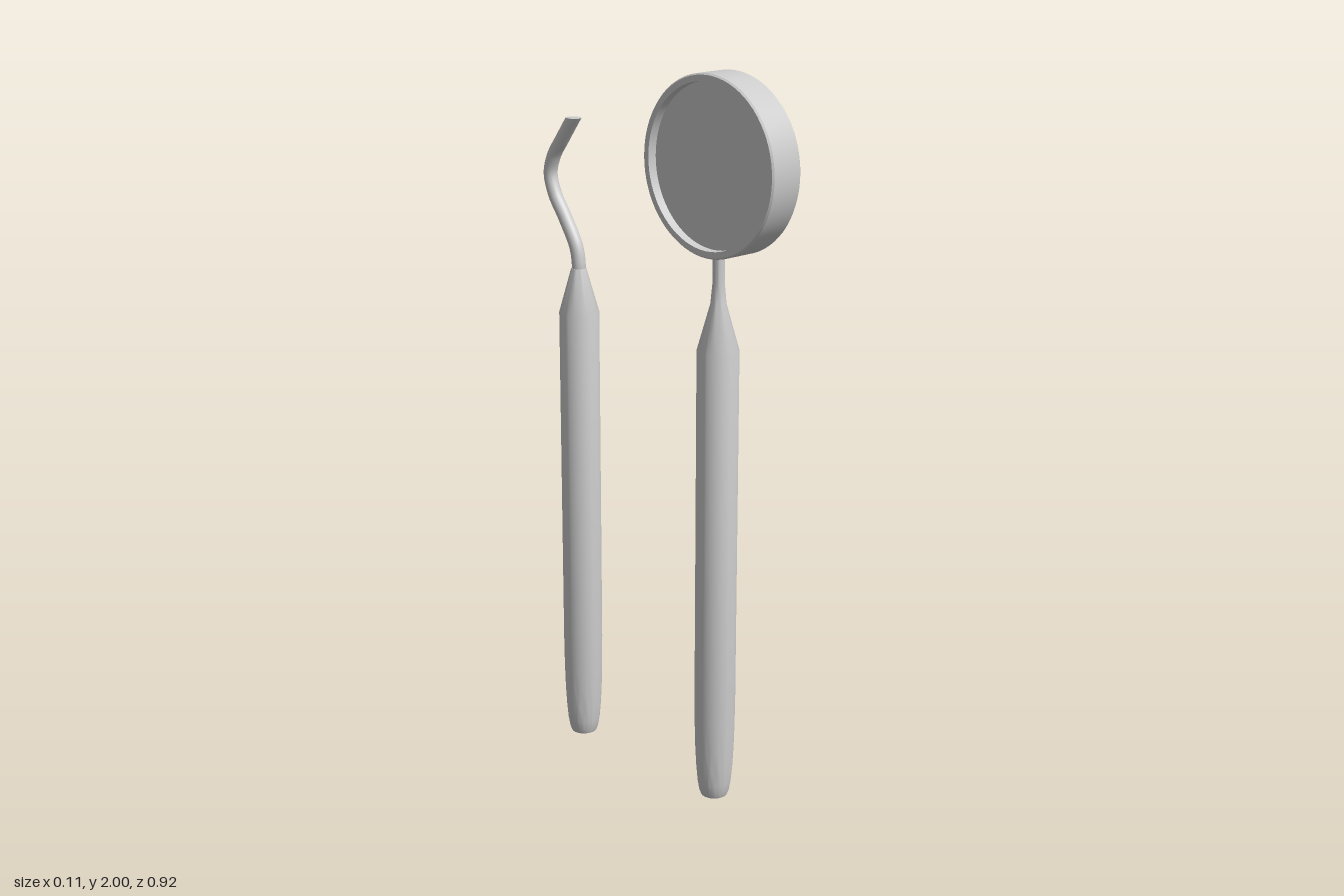
import * as THREE from 'three';
import { toCreasedNormals } from 'three/addons/utils/BufferGeometryUtils.js';

const material = new THREE.MeshStandardMaterial({ color: 0xcccccc });

function addMesh(parent, name, geometry) {
  const mesh = new THREE.Mesh(geometry, material);
  mesh.name = name;
  parent.add(mesh);
  return mesh;
}

// Revolve a bottom-to-top profile, keeping its hard edges crisp
function revolve(profile, segments = 48) {
  const points = profile.map(([r, y]) => new THREE.Vector2(r, y));
  return toCreasedNormals(new THREE.LatheGeometry(points, segments), 0.5);
}

// Handle shared by both tools: rounded foot, long grip, tapered shoulder
const handleProfile = [
  [0, 0], [0.036, 0], [0.041, 0.012], [0.046, 0.04], [0.05, 0.085], [0.053, 0.14],
  [0.055, 0.21], [0.056, 0.3], [0.056, 1.28], [0.021, 1.405],
];

function createMirror() {
  const tool = new THREE.Group();
  tool.name = 'mouthMirror';
  addMesh(tool, 'mirrorHandle', revolve([...handleProfile, [0.016, 1.46], [0.016, 1.54], [0, 1.54]]));

  const head = new THREE.Group();
  head.name = 'mirrorHead';
  head.position.set(0.002, 1.765, 0);
  head.rotation.z = -Math.PI / 2;
  tool.add(head);

  // Ring with slightly chamfered outer edges
  addMesh(head, 'mirrorRim', revolve([
    [0.215, -0.05], [0.231, -0.05], [0.235, -0.045], [0.235, 0.045],
    [0.231, 0.05], [0.215, 0.05], [0.215, -0.05],
  ], 72));
  // Glass recessed on both sides
  addMesh(head, 'mirrorGlass', new THREE.CylinderGeometry(0.216, 0.216, 0.048, 72));
  return tool;
}

function createProbe() {
  const tool = new THREE.Group();
  tool.name = 'probe';
  addMesh(tool, 'probeHandle', revolve([...handleProfile, [0, 1.405]]));

  // Bent shank, ending in a level cut
  const tipY = 1.82, radius = 0.0195, rings = 80, sides = 24;
  const path = new THREE.CatmullRomCurve3([
    [1.39, 0], [1.42, 0], [1.465, -0.01], [1.54, -0.056], [1.6, -0.098],
    [1.655, -0.115], [1.705, -0.1], [1.76, -0.06], [tipY, -0.014],
  ].map(([y, z]) => new THREE.Vector3(0, y, z)));
  const shank = new THREE.TubeGeometry(path, rings, radius, sides);
  const tip = path.getPoint(1);
  const t = path.getTangent(1);
  const pos = shank.attributes.position;
  for (let i = 0; i < pos.count; i++) {
    const y = pos.getY(i);
    if (y > tipY || i >= rings * (sides + 1)) {
      pos.setZ(i, pos.getZ(i) + ((tipY - y) / t.y) * t.z);
      pos.setY(i, tipY);
    }
  }
  addMesh(tool, 'probeShank', shank);

  // Elliptical face closing the cut
  const face = new THREE.CircleGeometry(radius, sides).rotateX(-Math.PI / 2).scale(1, 1, 1 / t.y);
  addMesh(tool, 'probeTip', face).position.copy(tip);
  return tool;
}

export function createModel() {
  const model = new THREE.Group();
  model.name = 'dentalTools';
  const mirror = createMirror();
  mirror.position.z = 0.227;
  const probe = createProbe();
  probe.position.z = -0.327;
  model.add(mirror, probe);
  return model;
}
